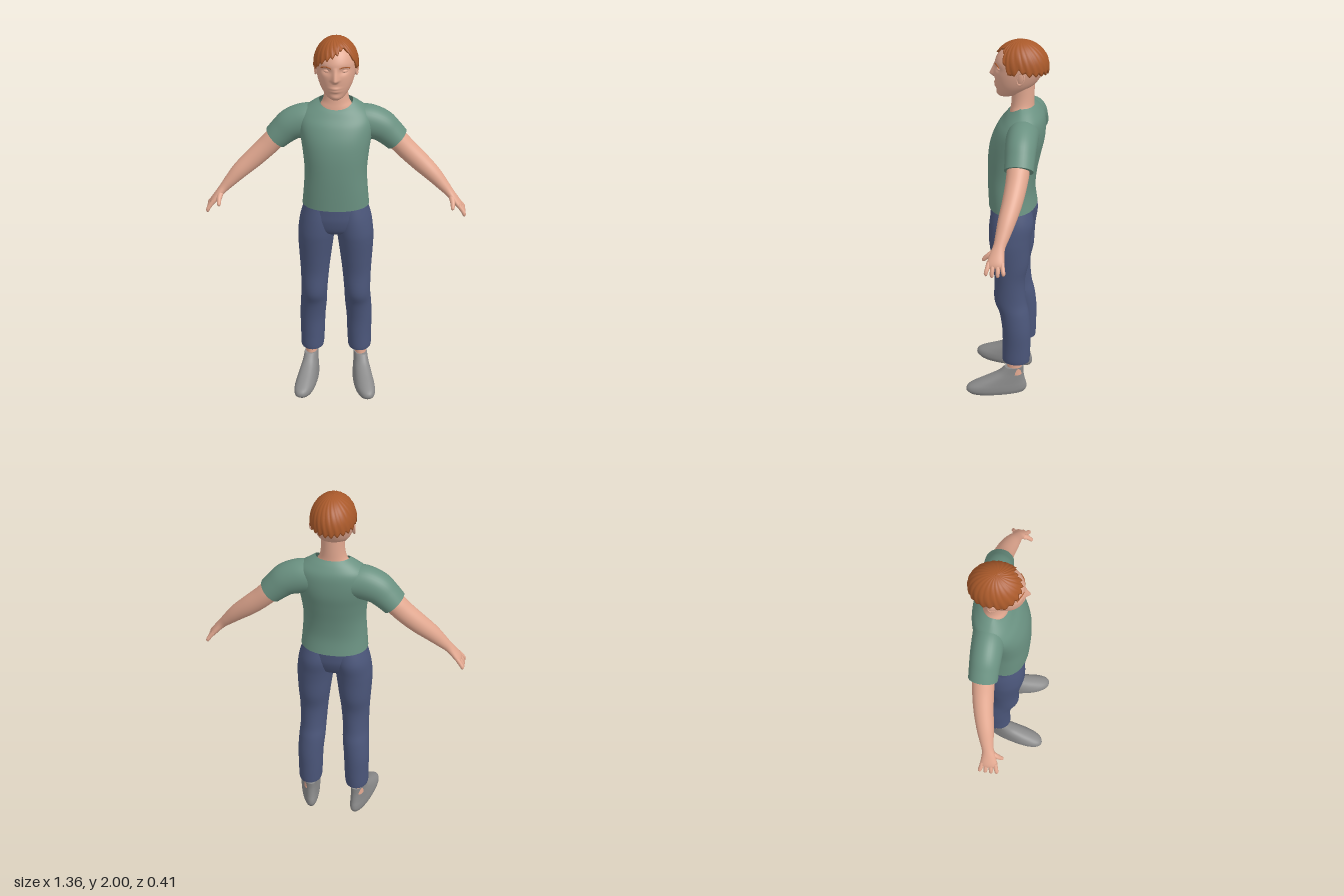
import * as THREE from 'three';

const mat = (color) => new THREE.MeshStandardMaterial({ color, side: THREE.DoubleSide });

// Catmull-Rom resampling of rows of numbers
function smooth(rows, sub) {
  const at = (i) => rows[Math.min(Math.max(i, 0), rows.length - 1)];
  const out = [];
  for (let i = 0; i < rows.length - 1; i++) {
    for (let k = 0; k < sub; k++) {
      const t = k / sub;
      out.push(rows[i].map((b, c) => {
        const a = at(i - 1)[c], d = at(i + 1)[c], e = at(i + 2)[c];
        return 0.5 * (2 * b + (d - a) * t + (2 * a - 5 * b + 4 * d - e) * t * t + (3 * b - a - 3 * d + e) * t * t * t);
      }));
    }
  }
  out.push(rows[rows.length - 1]);
  return out;
}

// Skin a list of closed rings, with optional flat caps at both ends
function loft(rings, capStart = true, capEnd = true) {
  const n = rings[0].length, pos = [], idx = [];
  rings.forEach((r) => r.forEach((p) => pos.push(p.x, p.y, p.z)));
  for (let i = 0; i < rings.length - 1; i++) {
    for (let j = 0; j < n; j++) {
      const a = i * n + j, b = i * n + (j + 1) % n;
      idx.push(a, a + n, b, b, a + n, b + n);
    }
  }
  const cap = (ring, flip) => {
    const base = pos.length / 3, mid = new THREE.Vector3();
    ring.forEach((p) => { pos.push(p.x, p.y, p.z); mid.addScaledVector(p, 1 / n); });
    pos.push(mid.x, mid.y, mid.z);
    for (let j = 0; j < n; j++) {
      const a = base + j, b = base + (j + 1) % n;
      idx.push(...(flip ? [b, a, base + n] : [a, b, base + n]));
    }
  };
  if (capStart) cap(rings[0], false);
  if (capEnd) cap(rings[rings.length - 1], true);
  const g = new THREE.BufferGeometry();
  g.setAttribute('position', new THREE.Float32BufferAttribute(pos, 3));
  g.setIndex(idx);
  g.computeVertexNormals();
  return g;
}

const curl = (v, p) => Math.sign(v) * Math.abs(v) ** p;
const angles = (n) => Array.from({ length: n }, (_, j) => (j / n) * Math.PI * 2);

// Upright body; rows are [y, centre x, half width, front z, back z, front dip]
function column(rows, { seg = 40, sub = 5, power = 1, top = true } = {}) {
  return loft(smooth(rows, sub).map(([y, cx, rx, zf, zb, dip = 0]) => angles(seg).map((a) => new THREE.Vector3(
    cx + rx * curl(Math.cos(a), power),
    y - dip * Math.max(0, Math.sin(a)),
    (zf + zb) / 2 + (zf - zb) / 2 * curl(Math.sin(a), power)))), true, top);
}

// Limb along a path; rows are [x, y, z, radius in the xy plane, radius along z]
function limb(rows, seg = 24, sub = 5) {
  const r = smooth(rows, sub), P = r.map((q) => new THREE.Vector3(q[0], q[1], q[2]));
  return loft(r.map((q, i) => {
    const T = P[Math.min(i + 1, P.length - 1)].clone().sub(P[Math.max(i - 1, 0)]).normalize();
    const U = T.clone().cross(new THREE.Vector3(0, 0, 1)).normalize(), V = U.clone().cross(T);
    return angles(seg).map((a) => P[i].clone().addScaledVector(U, q[3] * Math.cos(a)).addScaledVector(V, q[4] * Math.sin(a)));
  }));
}

function warp(g, rule) {
  const p = g.attributes.position, v = new THREE.Vector3();
  for (let i = 0; i < p.count; i++) {
    rule(v.fromBufferAttribute(p, i));
    p.setXYZ(i, v.x, v.y, v.z);
  }
  g.computeVertexNormals();
  return g;
}

function mirrored(g) {
  const m = g.clone().scale(-1, 1, 1), ix = m.index.array;
  for (let i = 0; i < ix.length; i += 3) [ix[i], ix[i + 1]] = [ix[i + 1], ix[i]];
  return m;
}

// Hair shell round the skull, with a parted fringe and jagged lock ends
function hairGeometry() {
  const line = [[-3.15, 1.845], [-1.9, 1.855], [-1.6, 1.88], [-1.3, 1.845], [-1, 1.875], [-0.5, 1.915], [0.5, 1.967],
    [0.6, 1.967], [0.9, 1.92], [1.1, 1.875], [1.3, 1.845], [1.6, 1.88], [1.9, 1.855], [3.15, 1.845]];
  const edge = (psi) => {
    const i = Math.max(1, line.findIndex((q) => q[0] >= psi)), [a, b] = [line[i - 1], line[i]];
    return a[1] + (b[1] - a[1]) * (psi - a[0]) / (b[0] - a[0]);
  };
  const ring = (t, scale) => angles(192).map((a) => {
    const psi = Math.atan2(Math.cos(a), Math.sin(a));
    const tooth = Math.abs(((psi / (2 * Math.PI) + 1) * 24) % 1 - 0.5) * 2;
    const low = edge(psi) + 0.016 * (tooth - 0.5) * (Math.abs(psi - 0.55) < 0.2 ? 0.2 : 1);
    const phi = t * Math.acos((low - 1.87) / 0.13);
    const lock = Math.abs(Math.sin(12 * (psi + 0.5 * (1 - t))));
    const s = scale * (1 + 0.035 * t * (lock - 0.5));
    return new THREE.Vector3(0.112 * s * Math.sin(phi) * Math.sin(psi), 1.87 + 0.13 * s * Math.cos(phi),
      -0.067 + 0.137 * s * Math.sin(phi) * Math.cos(psi));
  });
  const rings = [ring(1, 0.9), ring(1, 1.01)];
  for (let k = 19; k >= 0; k--) rings.push(ring(Math.max(k / 20, 0.005), 1));
  return loft(rings, false, true);
}

export function createModel() {
  const model = new THREE.Group();
  const skin = mat(0xe2a890), shirt = mat(0x6a9181), denim = mat(0x4b567a), hair = mat(0xa9592a), shoe = mat(0x8a8a8a);
  const add = (name, g, m) => {
    const mesh = new THREE.Mesh(g, m);
    mesh.name = name;
    model.add(mesh);
  };
  const pair = (name, g, m) => {
    add('left' + name, g, m);
    add('right' + name, mirrored(g), m);
  };

  // Shirt
  add('shirtBody', column([
    [1.108, 0, 0.174, 0.096, -0.152, 0], [1.2, 0, 0.166, 0.1, -0.141, 0], [1.3, 0, 0.161, 0.102, -0.15, 0],
    [1.4, 0, 0.17, 0.098, -0.17, 0], [1.48, 0, 0.182, 0.083, -0.187, 0], [1.55, 0, 0.19, 0.052, -0.19, 0],
    [1.605, 0, 0.172, 0.022, -0.183, 0.015], [1.645, 0, 0.125, 0.002, -0.16, 0.027], [1.67, 0, 0.086, -0.01, -0.137, 0.04],
  ], { seg: 56, power: 0.92, top: false }), shirt);
  pair('Sleeve', limb([
    [0.09, 1.545, -0.092, 0.085, 0.08], [0.16, 1.54, -0.093, 0.09, 0.08], [0.225, 1.518, -0.095, 0.084, 0.078],
    [0.27, 1.482, -0.097, 0.075, 0.075], [0.313, 1.44, -0.098, 0.067, 0.073],
  ], 36), shirt);

  // Trousers
  add('trouserHips', column([
    [0.94, 0, 0.12, 0.03, -0.07], [0.97, 0, 0.165, 0.07, -0.11], [1.03, 0, 0.184, 0.087, -0.136],
    [1.08, 0, 0.174, 0.088, -0.141], [1.13, 0, 0.166, 0.086, -0.14],
  ]), denim);
  pair('TrouserLeg', column([
    [0.203, 0.13, 0.061, 0.01, -0.136], [0.225, 0.13, 0.064, 0.012, -0.138], [0.3, 0.128, 0.066, 0.01, -0.14],
    [0.4, 0.127, 0.069, 0.012, -0.14], [0.5, 0.12, 0.071, 0.028, -0.13], [0.58, 0.116, 0.07, 0.056, -0.113],
    [0.7, 0.112, 0.076, 0.055, -0.106], [0.8, 0.109, 0.085, 0.066, -0.124], [0.9, 0.105, 0.094, 0.08, -0.13],
    [0.96, 0.1, 0.097, 0.086, -0.136], [1.04, 0.09, 0.095, 0.083, -0.146], [1.12, 0.08, 0.08, 0.07, -0.128],
  ]), denim);

  // Ankles and shoes
  pair('Ankle', column([[0.12, 0.136, 0.034, -0.01, -0.098], [0.18, 0.136, 0.031, -0.016, -0.095], [0.26, 0.134, 0.035, -0.016, -0.1]]), skin);
  pair('Shoe', warp(column([
    [0, 0, 0.045, 0.186, -0.108], [0.02, 0, 0.051, 0.205, -0.12], [0.045, 0, 0.051, 0.195, -0.119], [0.07, 0, 0.048, 0.15, -0.112],
    [0.1, 0, 0.044, 0.086, -0.106], [0.13, 0, 0.04, 0.032, -0.103], [0.165, 0, 0.038, -0.004, -0.104],
  ], { power: 0.88 }), (v) => { v.x = 0.136 + v.x * (1 + 1.1 * v.z) + 0.19 * (v.z + 0.05); }), shoe);

  // Arms, palms and fingers
  pair('Arm', limb([
    [0.2, 1.53, -0.09, 0.06, 0.06], [0.3, 1.45, -0.095, 0.056, 0.057], [0.36, 1.39, -0.092, 0.054, 0.054],
    [0.43, 1.325, -0.082, 0.051, 0.05], [0.5, 1.262, -0.066, 0.043, 0.044], [0.55, 1.21, -0.053, 0.033, 0.036],
    [0.585, 1.172, -0.043, 0.025, 0.03], [0.61, 1.143, -0.036, 0.021, 0.035], [0.638, 1.108, -0.032, 0.018, 0.042],
    [0.65, 1.09, -0.031, 0.013, 0.04], [0.654, 1.084, -0.031, 0.004, 0.03],
  ], 32), skin);
  [[-0.064, 0.012], [-0.043, 0.002], [-0.021, 0], [0.001, 0.008]].forEach(([z, short], i) => {
    const tip = z + (z + 0.032) * 0.3;
    pair('Finger' + (i + 1), limb([
      [0.638, 1.11, z, 0.011, 0.011], [0.658, 1.085, (z + tip) / 2, 0.011, 0.011], [0.668, 1.065 + short / 2, tip, 0.01, 0.01],
      [0.67, 1.05 + short, tip, 0.008, 0.008], [0.67, 1.043 + short, tip, 0.002, 0.002],
    ], 14, 4), skin);
  });
  pair('Thumb', limb([
    [0.595, 1.16, -0.03, 0.013, 0.013], [0.606, 1.136, 0, 0.014, 0.013], [0.608, 1.118, 0.02, 0.011, 0.011],
    [0.607, 1.104, 0.032, 0.009, 0.009], [0.606, 1.099, 0.036, 0.002, 0.002],
  ], 14, 4), skin);

  // Neck
  add('neck', column([
    [1.58, 0, 0.1, -0.004, -0.14], [1.635, 0, 0.084, -0.012, -0.135], [1.668, 0, 0.067, -0.017, -0.132],
    [1.72, 0, 0.059, -0.02, -0.133], [1.8, 0, 0.058, -0.02, -0.135],
  ]), skin);

  // Head with eye sockets, nose, lips and chin shaped into the face
  const bell = (d, w) => Math.exp(-((d / w) ** 2));
  add('head', warp(column([
    [1.706, 0, 0.022, 0.045, -0.01], [1.718, 0, 0.044, 0.053, -0.05], [1.745, 0, 0.067, 0.058, -0.095],
    [1.78, 0, 0.085, 0.064, -0.138], [1.82, 0, 0.096, 0.067, -0.166], [1.86, 0, 0.101, 0.066, -0.183],
    [1.9, 0, 0.101, 0.062, -0.187], [1.94, 0, 0.088, 0.04, -0.168], [1.97, 0, 0.061, 0.008, -0.138], [1.985, 0, 0.03, -0.03, -0.105],
  ], { seg: 112, sub: 8 }), (v) => {
    if (v.z < 0) return;
    const { x, y } = v;
    const slope = y > 1.818 ? Math.max(0, (1.885 - y) / 0.067) : Math.max(0, (y - 1.8) / 0.018);
    v.z += 0.027 * slope * bell(x, 0.009 + 0.007 * slope);
    v.z -= 0.012 * bell(Math.abs(x) - 0.045, 0.022) * bell(y - 1.862, 0.016);
    v.z += 0.007 * bell(x, 0.026) * (bell(y - 1.774, 0.007) + bell(y - 1.758, 0.008));
    v.z += 0.004 * bell(x, 0.025) * bell(y - 1.725, 0.012);
  }), skin);

  // Eyes, brows and ears
  pair('Eye', new THREE.SphereGeometry(1, 20, 14).scale(0.016, 0.008, 0.009).rotateY(0.45).translate(0.046, 1.861, 0.041), skin);
  const brow = new THREE.CatmullRomCurve3([[0.02, 1.879, 0.061], [0.045, 1.885, 0.053], [0.072, 1.877, 0.036]].map((p) => new THREE.Vector3(...p)));
  pair('Brow', new THREE.TubeGeometry(brow, 14, 0.003, 8), hair);
  pair('Ear', new THREE.SphereGeometry(1, 20, 16).scale(0.009, 0.034, 0.02).rotateX(-0.2).rotateY(-0.3).translate(0.1, 1.835, -0.076), skin);
  pair('EarRim', new THREE.TorusGeometry(0.019, 0.004, 8, 28).scale(1, 1.7, 1).rotateY(Math.PI / 2 - 0.3).rotateX(-0.2).translate(0.104, 1.837, -0.076), skin);

  // Hair
  add('hair', hairGeometry(), hair);
  return model;
}
